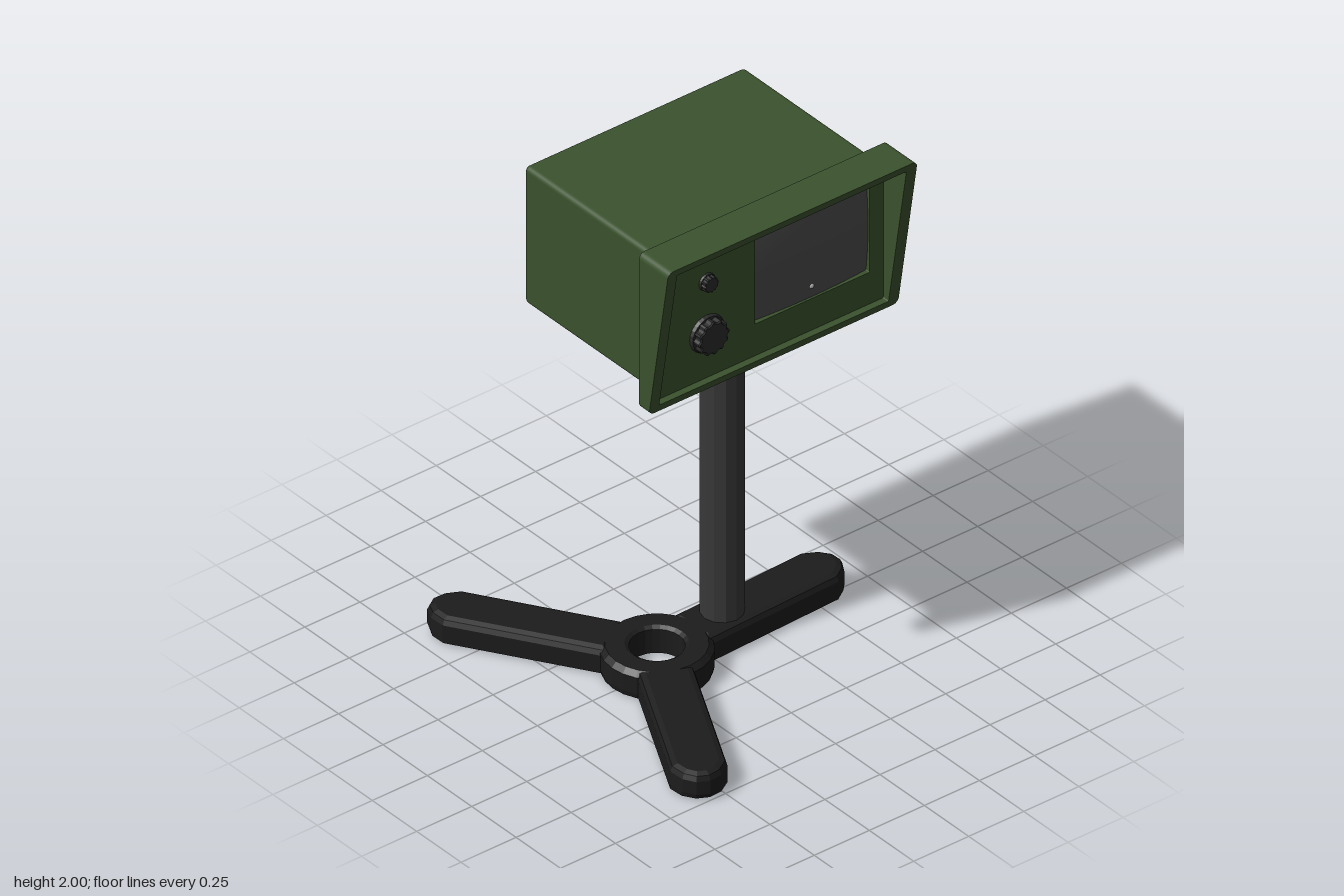
import * as THREE from 'three';
import { RoundedBoxGeometry } from 'three/addons/geometries/RoundedBoxGeometry.js';

const material = (color, flatShading = false) => {
  const m = new THREE.MeshStandardMaterial({ flatShading });
  m.color.set(color);
  return m;
};

function roundedRect(x0, x1, y0, y1, r, Type = THREE.Shape) {
  const s = new Type();
  s.absarc(x1 - r, y1 - r, r, 0, Math.PI / 2);
  s.absarc(x0 + r, y1 - r, r, Math.PI / 2, Math.PI);
  s.absarc(x0 + r, y0 + r, r, Math.PI, Math.PI * 1.5);
  s.absarc(x1 - r, y0 + r, r, Math.PI * 1.5, Math.PI * 2);
  s.closePath();
  return s;
}

export function createModel() {
  const root = new THREE.Group();
  const green = material(0x3a522d);
  const black = material(0x1c1c1c, true);
  const postGrey = material(0x383838, true);
  const knobGrey = material(0x2a2a2a, true);
  const add = (name, geometry, mat, x = 0, y = 0, z = 0, parent = root) => {
    const mesh = new THREE.Mesh(geometry, mat);
    mesh.name = name;
    mesh.position.set(x, y, z);
    parent.add(mesh);
    return mesh;
  };

  // Housing behind the face
  add('housing', new RoundedBoxGeometry(1, 0.585, 0.735, 3, 0.02), green, 0.112, 1.67, -0.1575);

  // Face panel with a screen opening
  const panel = roundedRect(-0.445, 0.67, 1.345, 1.99, 0.02);
  panel.holes.push(roundedRect(0.05, 0.57, 1.5, 1.89, 0.004, THREE.Path));
  add('facePanel', new THREE.ExtrudeGeometry(panel, { depth: 0.03, bevelEnabled: false, curveSegments: 4 }),
    green, 0, 0, 0.205);

  // Hood: a frame whose front edge leans forward at the top
  const hood = roundedRect(-0.453, 0.679, 1.337, 2, 0.025);
  hood.holes.push(roundedRect(-0.41, 0.632, 1.365, 1.972, 0.006, THREE.Path));
  const hoodGeo = new THREE.ExtrudeGeometry(hood, { depth: 0.1, bevelEnabled: false, curveSegments: 5 });
  const p = hoodGeo.attributes.position;
  for (let i = 0; i < p.count; i++) {
    const t = (p.getY(i) - 1.337) / 0.663;
    p.setZ(i, p.getZ(i) > 0.05 ? 0.26 + 0.11 * t : 0.205);
  }
  hoodGeo.computeVertexNormals();
  add('hood', hoodGeo, green);

  // Recess backing and bulging screen
  add('screenBacking', new THREE.PlaneGeometry(0.52, 0.39), black, 0.31, 1.695, 0.212);
  const screenGeo = new THREE.PlaneGeometry(0.52, 0.39, 16, 12);
  const q = screenGeo.attributes.position;
  for (let i = 0; i < q.count; i++) {
    const u = q.getX(i) / 0.26, v = q.getY(i) / 0.195;
    q.setZ(i, 0.024 * (1 - 0.5 * (u * u + v * v)));
  }
  screenGeo.computeVertexNormals();
  add('screen', screenGeo, material(0x4c4c4c), 0.31, 1.695, 0.214);
  add('indicator', new THREE.SphereGeometry(0.012, 10, 8), material(0xaaaaaa), 0.31, 1.55, 0.227);

  // Fluted control knobs
  const addKnob = (name, y, r, depth) => {
    const s = new THREE.Shape();
    for (let i = 0; i < 48; i++) {
      const a = i / 48 * Math.PI * 2, k = r * (i % 4 < 2 ? 0.9 : 0.8);
      s[i ? 'lineTo' : 'moveTo'](Math.cos(a) * k, Math.sin(a) * k);
    }
    s.closePath();
    const g = new THREE.Group();
    g.name = name;
    g.position.set(-0.17, y, 0.235);
    root.add(g);
    add('knobSkirt', new THREE.CylinderGeometry(r * 0.95, r, depth * 0.3, 24).rotateX(Math.PI / 2),
      knobGrey, 0, 0, depth * 0.15, g);
    add('knobGrip', new THREE.ExtrudeGeometry(s, {
      depth: depth * 0.75, bevelThickness: depth * 0.1, bevelSize: r * 0.06, bevelOffset: -r * 0.06, bevelSegments: 1,
    }), knobGrey, 0, 0, depth * 0.15, g);
  };
  addKnob('largeKnob', 1.555, 0.078, 0.045);
  addKnob('smallKnob', 1.775, 0.036, 0.03);

  // Post, set on one leg
  add('post', new THREE.CylinderGeometry(0.081, 0.081, 1.32, 12), postGrey, 0.114, 0.74, -0.03);

  // Base: open ring with three rounded legs
  const base = new THREE.Group();
  base.name = 'base';
  base.position.set(-0.195, 0, -0.015);
  root.add(base);
  const ringProfile = [[0.1, 0], [0.2, 0], [0.205, 0.02], [0.205, 0.09], [0.185, 0.11], [0.115, 0.11], [0.1, 0.1], [0.1, 0]]
    .map(([x, y]) => new THREE.Vector2(x, y));
  add('ring', new THREE.LatheGeometry(ringProfile, 24), black, 0, 0, 0, base);

  const w = 0.103, reach = 0.85;
  const leg = new THREE.Shape();
  leg.moveTo(0.15, -w);
  leg.lineTo(reach - 0.085, -w);
  leg.lineTo(reach - 0.03, -0.07);
  leg.lineTo(reach, -0.025);
  leg.lineTo(reach, 0.025);
  leg.lineTo(reach - 0.03, 0.07);
  leg.lineTo(reach - 0.085, w);
  leg.lineTo(0.15, w);
  leg.closePath();
  const legGeo = new THREE.ExtrudeGeometry(leg, {
    depth: 0.055, bevelThickness: 0.0275, bevelSize: 0.028, bevelOffset: -0.028, bevelSegments: 2,
  }).rotateX(-Math.PI / 2).translate(0, 0.0275, 0);
  // Underside stays nearly full width
  const lp = legGeo.attributes.position;
  for (let i = 0; i < lp.count; i++) {
    if (lp.getY(i) < 0.02) lp.setZ(i, lp.getZ(i) * 1.12);
    if (Math.abs(lp.getZ(i)) > w) lp.setZ(i, Math.sign(lp.getZ(i)) * w);
  }
  legGeo.computeVertexNormals();
  for (let i = 0; i < 3; i++) {
    add('leg', legGeo, black, 0, 0, 0, base).rotation.y = THREE.MathUtils.degToRad(2.3 + i * 120);
  }
  return root;
}
